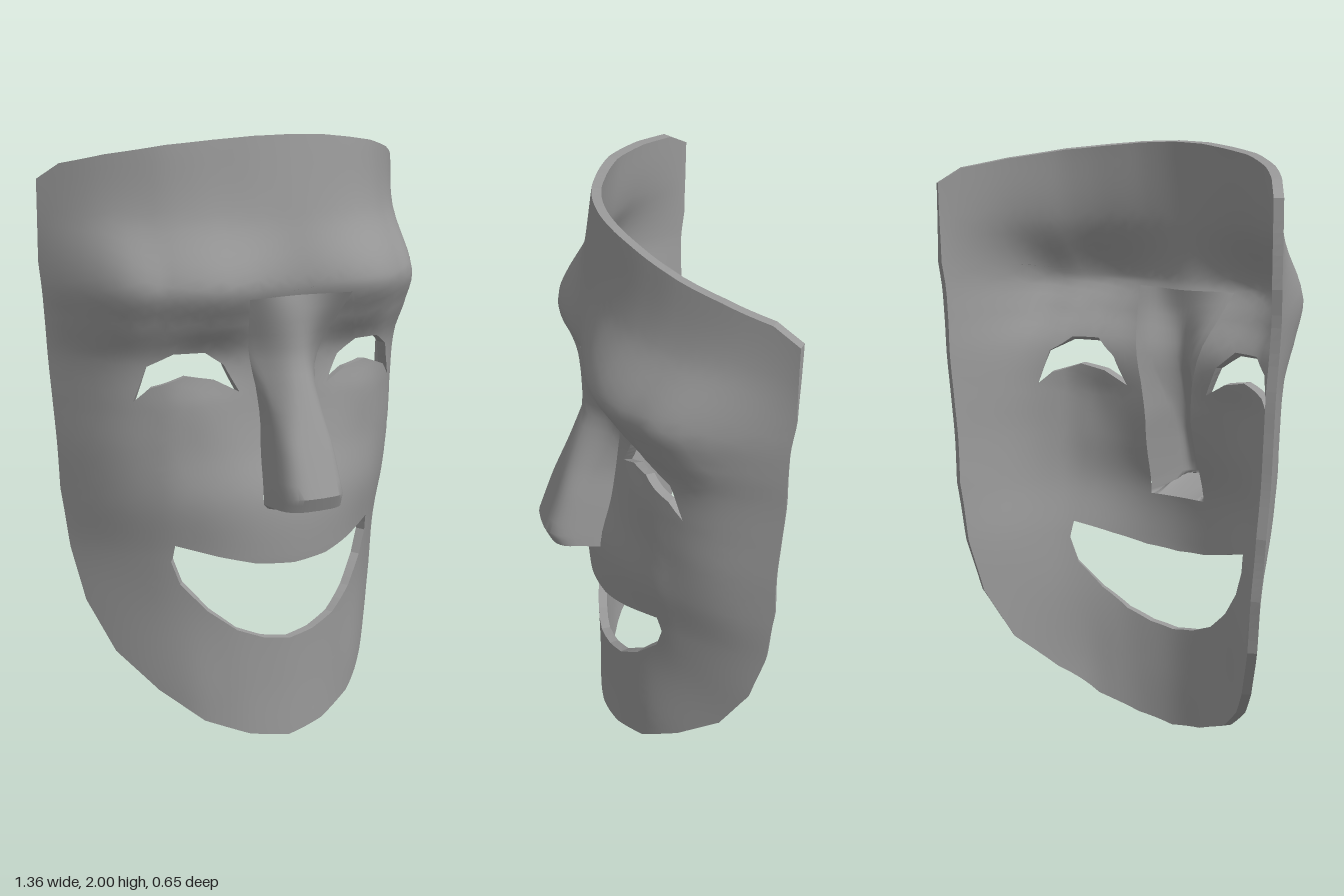
import * as THREE from 'three';
import { toCreasedNormals } from 'three/addons/utils/BufferGeometryUtils.js';

const THICK = 0.03, STEP = 0.05;

// Face relief: depth z for each height (rows) at each distance from the middle
const XS = [0, 0.12, 0.22, 0.32, 0.42, 0.55, 0.68];
const RELIEF = [
  [0.00, [0.115, 0.10, 0.065, 0.01, -0.09, -0.26, -0.44]],
  [0.20, [0.115, 0.10, 0.07, 0.02, -0.08, -0.25, -0.43]],
  [0.45, [0.125, 0.11, 0.08, 0.02, -0.07, -0.225, -0.42]],
  [0.65, [0.15, 0.135, 0.10, 0.04, -0.04, -0.20, -0.42]],
  [0.83, [0.15, 0.14, 0.115, 0.07, 0.00, -0.15, -0.41]],
  [1.00, [0.10, 0.10, 0.09, 0.06, 0.01, -0.12, -0.38]],
  [1.15, [0.08, 0.08, 0.075, 0.06, 0.015, -0.11, -0.36]],
  [1.30, [0.09, 0.08, 0.065, 0.05, 0.02, -0.09, -0.345]],
  [1.42, [0.13, 0.135, 0.14, 0.125, 0.08, -0.03, -0.33]],
  [1.54, [0.175, 0.19, 0.197, 0.18, 0.125, 0.01, -0.315]],
  [1.75, [0.15, 0.14, 0.115, 0.075, 0.01, -0.115, -0.31]],
  [2.00, [0.12, 0.105, 0.07, 0.025, -0.035, -0.155, -0.31]],
];
const YS = RELIEF.map((r) => r[0]);

// Smooth curve through knots, level at the first one
function cubic(ks, vs, t) {
  const n = ks.length - 1;
  let i = 0;
  while (i < n - 1 && t > ks[i + 1]) i++;
  const slope = (j) => (j === 0 ? 0
    : (vs[Math.min(j + 1, n)] - vs[j - 1]) / (ks[Math.min(j + 1, n)] - ks[j - 1]));
  const d = ks[i + 1] - ks[i], u = (t - ks[i]) / d, u2 = u * u, u3 = u2 * u;
  return vs[i] * (2 * u3 - 3 * u2 + 1) + slope(i) * d * (u3 - 2 * u2 + u)
    + vs[i + 1] * (3 * u2 - 2 * u3) + slope(i + 1) * d * (u3 - u2);
}

function linear(ks, vs, t) {
  let i = 0;
  while (i < ks.length - 2 && t > ks[i + 1]) i++;
  return THREE.MathUtils.lerp(vs[i], vs[i + 1], (t - ks[i]) / (ks[i + 1] - ks[i]));
}

const depth = (x, y) => cubic(YS, RELIEF.map((r) => cubic(XS, r[1], Math.abs(x))), y);

function normalAt(x, y) {
  const e = 0.012;
  return new THREE.Vector3(
    (depth(x - e, y) - depth(x + e, y)) / (2 * e),
    (depth(x, y - e) - depth(x, y + e)) / (2 * e), 1).normalize();
}

const front = (p) => new THREE.Vector3(p.x, p.y, depth(p.x, p.y));
const back = (p) => front(p).addScaledVector(normalAt(p.x, p.y), -THICK);

const points = (list) => list.map(([x, y]) => new THREE.Vector2(x, y));
const mirrored = (list) => list.map(([x, y]) => [-x, y]).reverse();
// Closes a half contour that starts and ends on the middle line
const symmetric = (half) => points([...half, ...mirrored(half).slice(1, -1)]);

const OUTLINE = symmetric([[0, 0], [0.14, 0.025], [0.28, 0.08], [0.4, 0.18], [0.5, 0.3],
  [0.57, 0.47], [0.605, 0.65], [0.63, 0.85], [0.643, 1.05], [0.66, 1.3], [0.68, 1.6],
  [0.68, 1.86], [0.63, 1.91], [0.53, 1.94], [0.38, 1.97], [0.25, 1.985], [0.13, 1.996], [0, 2]]);
const MOUTH = symmetric([[0, 0.345], [0.095, 0.36], [0.185, 0.395], [0.275, 0.465],
  [0.35, 0.555], [0.378, 0.635], [0.372, 0.692], [0.25, 0.655], [0.13, 0.625], [0, 0.615]]);
const EYE = [[0.165, 1.19], [0.25, 1.235], [0.34, 1.25], [0.445, 1.215], [0.488, 1.17],
  [0.455, 1.285], [0.385, 1.325], [0.285, 1.325], [0.215, 1.28]];

// Nose: rows of points from the bridge down to the tip and under it
function noseGrid() {
  const rows = [], M = 16, heights = [];
  for (let j = 0; j <= 15; j++) heights.push(1.5 - 0.042 * j);
  heights.push(0.85, 0.825, 0.81);
  heights.forEach((y, j) => {
    const edgeRow = j === 0 || j === heights.length - 1;
    const w = linear([0.81, 0.95, 1.1, 1.2, 1.3, 1.5], [0.115, 0.105, 0.093, 0.105, 0.13, 0.19], y);
    const ridge = linear([0.81, 0.825, 0.87, 1.3, 1.5], [0.295, 0.3, 0.32, 0.168, 0.172], y);
    const boxy = edgeRow ? 0 : 1 - THREE.MathUtils.smoothstep(y, 1.0, 1.38);
    const rise = edgeRow ? 0 : ridge - depth(0, y);
    const row = [];
    for (let i = 0; i <= M; i++) {
      const s = (2 * i) / M - 1, a = (s * Math.PI) / 2;
      const sx = THREE.MathUtils.lerp(s, Math.sign(s) * Math.abs(Math.sin(a)) ** 0.55, boxy);
      const border = Math.abs(s) === 1;
      const sz = border ? 0 : THREE.MathUtils.lerp(Math.cos(a) ** 2, Math.cos(a) ** 0.4, boxy);
      const x = w * sx;
      row.push(new THREE.Vector3(x, y, depth(x, y) + rise * sz));
    }
    rows.push(row);
  });
  return rows;
}

// Splits every long edge in the middle, so neighbouring triangles always agree
function refine(a, b, c, out) {
  const ab = a.distanceTo(b), bc = b.distanceTo(c), ca = c.distanceTo(a);
  const m = Math.max(ab, bc, ca);
  if (m <= STEP) { out.push(a, b, c); return; }
  if (m === bc) [a, b, c] = [b, c, a];
  else if (m === ca) [a, b, c] = [c, a, b];
  const mid = a.clone().add(b).multiplyScalar(0.5);
  refine(a, mid, c, out);
  refine(mid, b, c, out);
}

function splitEdge(a, b, out) {
  if (a.distanceTo(b) <= STEP) { out.push([a, b]); return; }
  const mid = a.clone().add(b).multiplyScalar(0.5);
  splitEdge(a, mid, out);
  splitEdge(mid, b, out);
}

function fromVectors(list, normals) {
  const g = new THREE.BufferGeometry().setFromPoints(list);
  if (normals) g.setAttribute('normal', new THREE.Float32BufferAttribute(normals.flatMap((n) => n.toArray()), 3));
  else g.computeVertexNormals();
  return g;
}

// Cut edges joining the front and back skins
function rimGeometry(contour, isHole) {
  const loop = THREE.ShapeUtils.isClockWise(contour) === isHole ? contour : [...contour].reverse();
  const edges = [], out = [];
  loop.forEach((p, i) => splitEdge(p, loop[(i + 1) % loop.length], edges));
  for (const [a, b] of edges) {
    out.push(front(a), back(a), back(b), front(a), back(b), front(b));
  }
  return fromVectors(out);
}

export function createModel() {
  const group = new THREE.Group();
  group.name = 'smilingMask';
  const grey = new THREE.MeshStandardMaterial({ color: 0x999999 });
  grey.name = 'mask grey';
  const add = (name, geometry) => {
    const mesh = new THREE.Mesh(geometry, grey);
    mesh.name = name;
    group.add(mesh);
  };

  // Opening behind the nose follows the border of the nose grid
  const rows = noseGrid();
  const last = rows.length - 1, M = rows[0].length - 1;
  const noseHole = [
    ...rows[0], ...rows.slice(1).map((r) => r[M]),
    ...rows[last].slice(0, M).reverse(), ...rows.slice(1, last).map((r) => r[0]).reverse(),
  ].map((p) => new THREE.Vector2(p.x, p.y));
  const leftEye = points(EYE), rightEye = points(mirrored(EYE));

  // Face skins
  const holes = [MOUTH, leftEye, rightEye, noseHole];
  const all = [OUTLINE, ...holes].flat();
  const flat = [];
  for (const [i, j, k] of THREE.ShapeUtils.triangulateShape(OUTLINE, holes)) {
    const ccw = THREE.ShapeUtils.area([all[i], all[j], all[k]]) > 0;
    refine(all[i], ccw ? all[j] : all[k], ccw ? all[k] : all[j], flat);
  }
  const normals = flat.map((p) => normalAt(p.x, p.y));
  add('faceFront', fromVectors(flat.map(front), normals));
  add('faceBack', fromVectors(flat.map(back).reverse(), normals.map((n) => n.clone().negate()).reverse()));

  // Rims
  add('outerRim', rimGeometry(OUTLINE, false));
  add('mouthRim', rimGeometry(MOUTH, true));
  add('leftEyeRim', rimGeometry(leftEye, true));
  add('rightEyeRim', rimGeometry(rightEye, true));

  // Nose, outside and hollow inside
  const index = [];
  for (let j = 0; j < last; j++) {
    for (let i = 0; i < M; i++) {
      const a = j * (M + 1) + i, b = a + M + 1;
      index.push(a, b, b + 1, a, b + 1, a + 1);
    }
  }
  const outer = fromVectors(rows.flat());
  outer.setIndex(index);
  outer.computeVertexNormals();
  const inner = rows.flat().map((p, n) => {
    const j = Math.floor(n / (M + 1)), i = n % (M + 1);
    if (j === 0 || j === last || i === 0 || i === M) return back(p);
    return p.clone().addScaledVector(new THREE.Vector3().fromBufferAttribute(outer.attributes.normal, n), -THICK);
  });
  const inside = new THREE.BufferGeometry().setFromPoints(inner);
  inside.setIndex([...index].reverse());
  inside.computeVertexNormals();
  add('noseFront', toCreasedNormals(outer, 0.65));
  add('noseInside', inside);
  return group;
}
